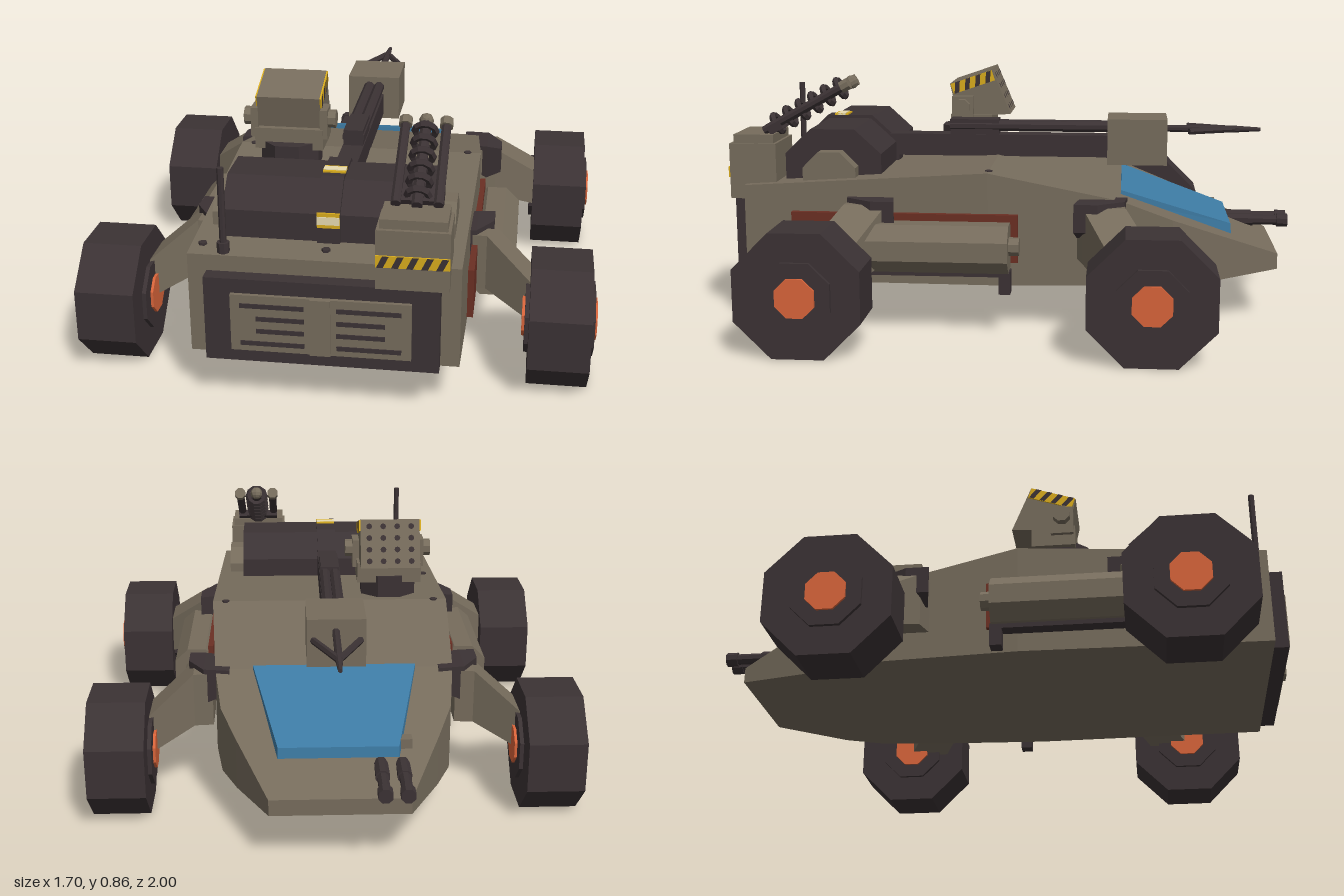
import * as THREE from 'three';

const mat = (name, color) => Object.assign(new THREE.MeshStandardMaterial({ color }), { name, flatShading: true });
const M = {
  khaki: mat('khaki', 0x766c5c), dark: mat('charcoal', 0x3b3234), blue: mat('glassBlue', 0x3d7ba4),
  orange: mat('hubOrange', 0xd8643a), red: mat('rustRed', 0x6b2f23), yellow: mat('hazardYellow', 0xd9ac1d),
  pale: mat('paleLabel', 0xe8dcb0),
};

export function createModel() {
  const model = new THREE.Group();
  model.name = 'buggy';

  const add = (name, geo, m, x = 0, y = 0, z = 0, parent = model) => {
    const mesh = new THREE.Mesh(geo, m);
    mesh.name = name;
    mesh.position.set(x, y, z);
    parent.add(mesh);
    return mesh;
  };
  // box given by its limits on each axis
  const box = (name, m, x0, x1, y0, y1, z0, z1, parent) =>
    add(name, new THREE.BoxGeometry(x1 - x0, y1 - y0, z1 - z0), m,
      (x0 + x1) / 2, (y0 + y1) / 2, (z0 + z1) / 2, parent);
  // cylinder along an axis, with flats facing the other axes
  const cyl = (axis, r, len, sides = 8, r2 = r) => {
    const g = new THREE.CylinderGeometry(r2, r, len, sides);
    g.rotateY(Math.PI / sides);
    if (axis === 'x') g.rotateZ(Math.PI / 2);
    if (axis === 'z') g.rotateX(-Math.PI / 2);
    return g;
  };
  // flat-shaded solid through rings of points, turned outward by its signed volume
  const loft = (rings) => {
    const tris = [], n = rings[0].length, last = rings[rings.length - 1];
    for (let i = 0; i + 1 < rings.length; i++) for (let j = 0; j < n; j++) {
      const k = (j + 1) % n, a = rings[i], b = rings[i + 1];
      tris.push([a[j], b[j], b[k]], [a[j], b[k], a[k]]);
    }
    for (let j = 1; j + 1 < n; j++)
      tris.push([rings[0][0], rings[0][j], rings[0][j + 1]], [last[0], last[j + 1], last[j]]);
    const V = (p) => new THREE.Vector3(...p);
    const vol = tris.reduce((s, [a, b, c]) => s + V(a).dot(V(b).cross(V(c))), 0);
    const pos = tris.flatMap(([a, b, c]) => (vol > 0 ? [a, b, c] : [a, c, b])).flat();
    const g = new THREE.BufferGeometry();
    g.setAttribute('position', new THREE.Float32BufferAttribute(pos, 3));
    g.computeVertexNormals();
    return g;
  };
  const rectZ = (z, w, y0, y1) => [[-w, y0, z], [w, y0, z], [w, y1, z], [-w, y1, z]];
  const rectX = (x, y0, y1, z0, z1) => [[x, y0, z0], [x, y0, z1], [x, y1, z1], [x, y1, z0]];
  // yellow strip with slanted dark bars, facing +z
  const hazard = (len, h, bars) => {
    const g = new THREE.Group();
    g.name = 'hazardStripe';
    add('stripeBase', new THREE.BoxGeometry(len, h, 0.006), M.yellow, 0, 0, 0, g);
    const step = len / bars, w = step * 0.45, s = step * 0.2;
    const bar = new THREE.ShapeGeometry(new THREE.Shape([
      new THREE.Vector2(-w / 2 - s, -h / 2), new THREE.Vector2(w / 2 - s, -h / 2),
      new THREE.Vector2(w / 2 + s, h / 2), new THREE.Vector2(-w / 2 + s, h / 2)]));
    for (let i = 0; i < bars; i++) add('stripeBar', bar, M.dark, (i + 0.5) * step - len / 2, 0, 0.005, g);
    model.add(g);
    return g;
  };

  // hull
  add('hull', loft([
    rectZ(0.925, 0.425, 0.155, 0.49), rectZ(0.08, 0.438, 0.155, 0.545), rectZ(-0.37, 0.41, 0.155, 0.452),
    rectZ(-0.55, 0.385, 0.155, 0.382), rectZ(-0.68, 0.332, 0.155, 0.331), rectZ(-0.925, 0.225, 0.18, 0.235)]), M.khaki);
  add('windshield', loft([
    [[-0.28, 0.43, -0.37], [0.28, 0.43, -0.37], [0.28, 0.465, -0.372], [-0.28, 0.465, -0.372]],
    [[-0.197, 0.28, -0.765], [0.197, 0.28, -0.765], [0.195, 0.335, -0.76], [-0.195, 0.335, -0.76]]]), M.blue);
  for (const [x, y, z] of [[-0.39, 0.542, 0.08], [0.39, 0.542, 0.08], [-0.39, 0.519, 0.47],
    [-0.39, 0.496, 0.86], [-0.31, 0.493, 0.89], [0, 0.496, 0.86]])
    add('bolt', cyl('y', 0.014, 0.012, 6), M.dark, x, y, z);

  // rear grille
  box('grilleFrame', M.dark, -0.365, 0.365, 0.156, 0.437, 0.9, 0.975);
  box('grillePlate', M.khaki, -0.28, 0.28, 0.2, 0.39, 0.97, 0.988);
  box('grilleSpine', M.khaki, -0.032, 0.032, 0.2, 0.39, 0.98, 0.996);
  for (const s of [-1, 1]) for (const [y, w] of [[0.227, 0.2], [0.27, 0.15], [0.312, 0.15], [0.355, 0.2]])
    add('grilleSlot', new THREE.BoxGeometry(w, 0.015, 0.006), M.dark, s * (0.05 + w / 2), y, 0.988);

  for (const s of [-1, 1]) {
    // wheels, arms and brackets; the front set mirrors the rear about the middle
    for (const f of [(z) => z, (z) => 0.175 - z]) {
      const z = f(0.65), R = (x, y0, y1, z0, z1) => rectX(s * x, y0, y1, f(z0), f(z1));
      add('tyre', cyl('x', 0.2235, 0.195), M.dark, s * 0.73, 0.2075, z);
      add('hubRing', cyl('x', 0.122, 0.222), M.dark, s * 0.73, 0.2075, z);
      add('hub', cyl('x', 0.069, 0.24), M.orange, s * 0.73, 0.2075, z);
      add('arm', loft([R(0.42, 0.25, 0.44, 0.4, 0.56), R(0.485, 0.25, 0.44, 0.42, 0.565),
        R(0.64, 0.185, 0.32, 0.51, 0.66)]), M.khaki);
      add('armBracket', loft([R(0.36, 0.37, 0.455, 0.42, 0.57), R(0.45, 0.33, 0.457, 0.4, 0.56),
        R(0.505, 0.36, 0.455, 0.39, 0.47)]), M.dark);
    }
    // side tank and panel
    box('sidePanel', M.red, s * 0.445 - 0.01, s * 0.445 + 0.01, 0.24, 0.405, -0.025, 0.755);
    add('sideTank', cyl('z', 0.088, 0.55), M.khaki, s * 0.5, 0.302, 0.275);
    add('tankCap', cyl('z', 0.032, 0.05), M.khaki, s * 0.51, 0.31, -0.01);
    box('tankRail', M.dark, s * 0.495 - 0.025, s * 0.495 + 0.025, 0.205, 0.225, 0, 0.5);
    box('tankFoot', M.dark, s * 0.495 - 0.025, s * 0.495 + 0.025, 0.145, 0.225, -0.005, 0.035);
  }

  // engine drum
  const drum = (x0, x1, k) => loft([x0, x1].map((x) => [[0.8, 0.47], [0.8, 0.59], [0.71, 0.675], [0.555, 0.675],
    [0.462, 0.59], [0.462, 0.47]].map(([z, y]) => [x, 0.51 + (y - 0.51) * k, 0.63 + (z - 0.63) * k])));
  add('engineDrum', drum(-0.34, 0.335, 1), M.dark);
  add('engineBand', drum(-0.036, 0.036, 1.07), M.dark);
  add('engineCap', cyl('x', 0.1, 0.78), M.khaki, 0, 0.51, 0.635);
  box('topLabel', M.yellow, -0.036, 0.036, 0.683, 0.692, 0.64, 0.69);
  box('topLabelCentre', M.pale, -0.036, 0.036, 0.686, 0.694, 0.65, 0.68);
  box('rearLabel', M.yellow, -0.036, 0.036, 0.55, 0.6, 0.808, 0.815);
  box('rearLabelCentre', M.pale, -0.036, 0.036, 0.562, 0.588, 0.811, 0.818);

  // main gun
  box('gunBeam', M.dark, -0.037, 0.037, 0.54, 0.62, -0.34, 0.5);
  for (const s of [-1, 1]) add('gunTube', cyl('z', 0.02, 0.6), M.dark, s * 0.019, 0.65, -0.04);
  box('gunBreech', M.dark, -0.034, 0.034, 0.615, 0.675, 0.08, 0.26);
  box('gunHousing', M.khaki, -0.1, 0.097, 0.522, 0.688, -0.535, -0.32);
  add('gunBarrel', cyl('z', 0.013, 0.26), M.dark, 0, 0.645, -0.66);
  add('gunTip', cyl('z', 0.014, 0.11, 8, 0.007), M.dark, 0, 0.645, -0.82);
  for (const s of [-1, 1])
    add('gunProng', cyl('z', 0.012, 0.19, 6), M.dark, s * 0.038, 0.645, -0.7).rotation.y = s * 0.42;

  // twin nose guns
  for (const x of [-0.205, -0.135]) {
    add('noseGun', cyl('z', 0.019, 0.25), M.dark, x, 0.28, -0.87);
    add('noseGunMuzzle', cyl('z', 0.025, 0.04), M.dark, x, 0.28, -0.98);
    add('noseGunSleeve', cyl('z', 0.024, 0.1), M.dark, x, 0.28, -0.82);
  }
  box('noseGunMount', M.khaki, -0.24, -0.2, 0.29, 0.345, -0.73, -0.69);

  // launcher turret
  const tx = -0.225;
  add('turretBase', cyl('y', 0.11, 0.11), M.dark, tx, 0.57, 0.215);
  box('turretYoke', M.khaki, tx - 0.12, tx + 0.12, 0.6, 0.675, 0.12, 0.275);
  add('launcherBox', loft([-0.335, -0.115].map((x) =>
    [[0.28, 0.79], [0.12, 0.845], [0.05, 0.677], [0.25, 0.662]].map(([z, y]) => [x, y, z]))), M.khaki);
  for (const s of [-1, 1]) {
    box('turretEar', M.khaki, tx + s * 0.122 - 0.013, tx + s * 0.122 + 0.013, 0.64, 0.745, 0.19, 0.27);
    add('turretPivot', cyl('x', 0.032, 0.05), M.khaki, tx + s * 0.137, 0.705, 0.23);
    const h = hazard(0.165, 0.04, 4);
    h.position.set(tx + s * 0.112, 0.797, 0.193);
    h.rotation.set(0, s * Math.PI / 2, s * 0.33);
  }
  for (let i = 0; i < 4; i++) for (let j = 0; j < 4; j++) {
    const t = (j + 0.6) / 4.2;
    const hole = add('launchHole', new THREE.CircleGeometry(0.011, 8), M.dark,
      tx + (i - 1.5) * 0.052, 0.677 + t * 0.168 + 0.001, 0.05 + t * 0.07 - 0.003);
    hole.lookAt(hole.position.clone().add(new THREE.Vector3(0, 0.38, -0.92)));
  }

  // rear corner box with coil weapon
  box('cornerBox', M.khaki, 0.168, 0.392, 0.437, 0.63, 0.82, 0.983);
  box('cornerBoxLid', M.khaki, 0.178, 0.382, 0.62, 0.66, 0.83, 0.97);
  hazard(0.224, 0.038, 5).position.set(0.28, 0.53, 0.985);
  const coil = new THREE.Group();
  coil.name = 'coilWeapon';
  coil.position.set(0.28, 0.75, 0.725);
  coil.rotation.x = 0.505;
  model.add(coil);
  for (const s of [-1, 1]) {
    add('coilRail', cyl('z', 0.016, 0.33), M.dark, s * 0.065, 0, 0, coil);
    add('railTip', cyl('z', 0.022, 0.03), M.khaki, s * 0.065, 0, -0.165, coil);
  }
  add('coilCore', cyl('z', 0.018, 0.34), M.dark, 0, 0, 0, coil);
  for (let i = 0; i < 6; i++)
    add('coilRing', new THREE.TorusGeometry(0.033, 0.012, 5, 10), M.dark, 0, 0, -0.13 + i * 0.052, coil);
  add('coilTip', new THREE.SphereGeometry(0.024, 8, 6), M.khaki, 0, 0, -0.175, coil);
  box('coilBracket', M.dark, -0.08, 0.08, -0.025, 0.0, 0.1, 0.15, coil);

  // antenna
  add('antennaBase', cyl('y', 0.02, 0.04), M.dark, -0.315, 0.505, 0.9);
  add('antenna', cyl('y', 0.011, 0.28), M.dark, -0.315, 0.63, 0.9);

  return model;
}
